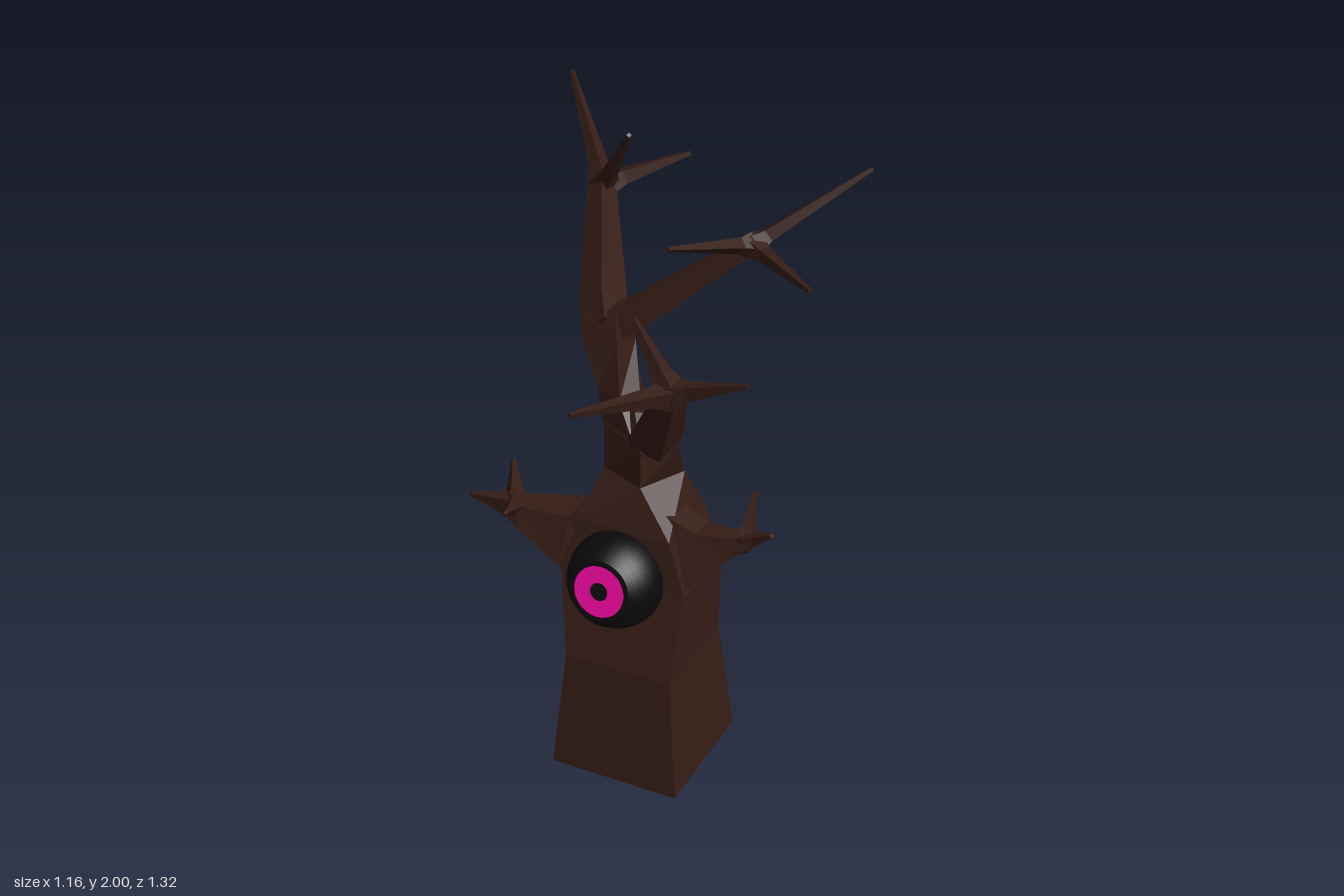
import * as THREE from 'three';

const bark = new THREE.MeshStandardMaterial({ color: 0x361d16, flatShading: true });
const black = new THREE.MeshStandardMaterial({ color: 0x0a0a0a });
const pink = new THREE.MeshStandardMaterial({ color: 0xf808a4 });
const V = (x, y, z) => new THREE.Vector3(x, y, z);

// Four-cornered section in a level plane: a box, or free [x, z] corners
const corners = (y, list) => list.map(([x, z]) => V(x, y, z));
const ringY = (y, x0, x1, z0, z1) => corners(y, [[x0, z1], [x1, z1], [x1, z0], [x0, z0]]);

// Section facing sideways, its top edge narrowed by k (s = 1 towards +x, -1 towards -x)
const ringX = (s, x, y0, y1, z0, z1, k) => {
  const top = [V(x, y1, z1 - k), V(x, y1, z0 + k)];
  const low = [V(x, y0, z1), V(x, y0, z0)];
  const [a, b] = s > 0 ? [top, low] : [low, top];
  return [a[0], b[0], b[1], a[1]];
};

// Square section of half width w, perpendicular to direction t
function ringAt(p, t, w) {
  t = t.clone().normalize();
  const v = V(0, 0, 1).addScaledVector(t, -t.z).normalize();
  const u = t.clone().cross(v);
  return [[-1, 1], [1, 1], [1, -1], [-1, -1]].map(([a, b]) =>
    p.clone().addScaledVector(u, a * w).addScaledVector(v, b * w));
}

// Skin joining the sections in order, capped at both ends
function loft(name, rings) {
  const pos = [];
  const tri = (...ps) => ps.forEach((p) => pos.push(p.x, p.y, p.z));
  for (let k = 0; k < rings.length - 1; k++) {
    const a = rings[k], b = rings[k + 1];
    for (let i = 0; i < 4; i++) {
      const j = (i + 1) % 4;
      tri(a[i], a[j], b[j]);
      tri(a[i], b[j], b[i]);
    }
  }
  const s = rings[0], e = rings[rings.length - 1];
  tri(s[0], s[2], s[1]); tri(s[0], s[3], s[2]);
  tri(e[0], e[1], e[2]); tri(e[0], e[2], e[3]);
  const g = new THREE.BufferGeometry();
  g.setAttribute('position', new THREE.Float32BufferAttribute(pos, 3));
  g.computeVertexNormals();
  const mesh = new THREE.Mesh(g, bark);
  mesh.name = name;
  return mesh;
}

// Sections along a path of [x, y, z, halfWidth]
function pathRings(stations) {
  const pts = stations.map((s) => V(s[0], s[1], s[2]));
  return stations.map((s, i) => {
    const t = pts[Math.min(i + 1, pts.length - 1)].clone().sub(pts[Math.max(i - 1, 0)]);
    return ringAt(pts[i], t, s[3]);
  });
}

// Thin twigs spreading from a knot of half width w
function twigs(name, node, w, tips) {
  const group = new THREE.Group();
  group.name = name;
  const c = V(...node);
  tips.forEach((tip) => {
    const end = V(...tip), d = end.clone().sub(c);
    const n = d.clone().normalize();
    const at = (dist, h) => ringAt(c.clone().addScaledVector(n, dist), d, h);
    group.add(loft('twig', [at(-w * 0.4, w * 0.72), at(w * 0.4, w * 0.72), at(w * 1.4, w * 0.45), ringAt(end, d, 0.006)]));
  });
  return group;
}

export function createModel() {
  const tree = new THREE.Group();
  tree.name = 'tree';

  // Trunk, twisting into a neck that runs diagonally
  tree.add(loft('trunk', [
    ringY(0, -0.165, 0.28, -0.09, 0.36),
    ringY(0.42, -0.13, 0.24, -0.045, 0.32),
    ringY(0.71, -0.185, 0.25, -0.045, 0.24),
    ringY(0.88, -0.13, 0.185, -0.045, 0.215),
    corners(1.02, [[-0.1, 0.1], [0.06, 0.165], [0.14, 0.01], [-0.04, -0.05]]),
    corners(1.15, [[-0.12, 0.06], [0.06, 0.16], [0.15, 0.08], [-0.03, -0.08]]),
    corners(1.235, [[-0.04, 0.05], [0.0, 0.08], [0.04, 0.06], [0.0, 0.0]]),
  ]));

  // Rear main limb and its two forks
  tree.add(loft('rearLimb', [
    corners(1.14, [[-0.118, 0.06], [0.03, 0.14], [0.07, 0.06], [-0.03, -0.078]]),
    corners(1.25, [[-0.16, 0.02], [-0.06, 0.07], [-0.005, 0.03], [-0.07, -0.1]]),
    ...pathRings([[-0.163, 1.37, -0.07, 0.06], [-0.185, 1.46, -0.1, 0.064]]),
  ]));
  tree.add(loft('rearLeftFork', pathRings([
    [-0.165, 1.42, -0.06, 0.05], [-0.215, 1.465, -0.13, 0.054],
    [-0.378, 1.65, -0.44, 0.036], [-0.405, 1.69, -0.5, 0.032],
  ])));
  tree.add(loft('rearRightFork', pathRings([
    [-0.19, 1.42, -0.09, 0.05], [-0.1, 1.463, -0.1, 0.047],
    [0.23, 1.735, -0.17, 0.028], [0.28, 1.765, -0.185, 0.027],
  ])));

  // Front limb
  tree.add(loft('frontLimb', [
    corners(1.13, [[0.0, 0.12], [0.06, 0.16], [0.148, 0.08], [0.05, 0.0]]),
    ...pathRings([[0.1, 1.21, 0.135, 0.062], [0.237, 1.48, 0.335, 0.04], [0.26, 1.53, 0.357, 0.033]]),
  ]));

  // Short side branches
  tree.add(loft('leftBranch', [
    ringX(1, 0.1, 0.64, 0.96, 0, 0.21, 0.05),
    ringX(1, 0.25, 0.73, 0.9, 0.02, 0.215, 0.055),
    ringX(1, 0.375, 0.85, 0.915, 0.08, 0.165, 0.015),
    ringX(1, 0.43, 0.895, 0.935, 0.11, 0.155, 0.005),
  ]));
  tree.add(loft('rightBranch', [
    ringX(-1, -0.07, 0.66, 0.91, -0.02, 0.22, 0.05),
    ringX(-1, -0.185, 0.69, 0.855, 0.0, 0.24, 0.05),
    ringX(-1, -0.36, 0.775, 0.845, 0.08, 0.215, 0.025),
    ringX(-1, -0.42, 0.805, 0.845, 0.12, 0.19, 0.01),
  ]));

  // Twigs
  tree.add(twigs('rearLeftTwigs', [-0.4, 1.68, -0.5], 0.05,
    [[-0.573, 1.995, -0.613], [-0.165, 1.77, -0.657], [-0.19, 1.995, -0.262]]));
  tree.add(twigs('rearRightTwigs', [0.27, 1.76, -0.18], 0.042,
    [[0.57, 1.995, -0.38], [0.525, 1.737, -0.03], [0.15, 1.878, 0.16]]));
  tree.add(twigs('frontTwigs', [0.257, 1.52, 0.355], 0.05,
    [[0.515, 1.632, 0.39], [0.08, 1.563, 0.657], [0.13, 1.738, 0.348]]));
  tree.add(twigs('leftBranchTwigs', [0.405, 0.9, 0.125], 0.036,
    [[0.505, 0.97, 0.155], [0.397, 1.033, 0.038]]));
  tree.add(twigs('rightBranchTwigs', [-0.395, 0.82, 0.155], 0.046,
    [[-0.55, 0.83, 0.173], [-0.487, 0.873, -0.003], [-0.34, 0.9, 0.312]]));

  // Eye: ball with a flattened front, tilted slightly upwards
  const eye = new THREE.Group();
  eye.name = 'eye';
  const R = 0.16, flat = 0.125, profile = [new THREE.Vector2(0, -R)];
  const a1 = Math.asin(flat / R);
  for (let i = 1; i <= 14; i++) {
    const a = -Math.PI / 2 + (a1 + Math.PI / 2) * (i / 14);
    profile.push(new THREE.Vector2(R * Math.cos(a), R * Math.sin(a)));
  }
  const ball = new THREE.Mesh(new THREE.LatheGeometry(profile, 32), black);
  ball.name = 'eyeball';
  ball.rotation.x = Math.PI / 2;
  const front = new THREE.Mesh(new THREE.CircleGeometry(0.102, 32), black);
  front.name = 'eyeFront';
  front.position.z = flat;
  const iris = new THREE.Mesh(new THREE.RingGeometry(0.03, 0.086, 32), pink);
  iris.name = 'iris';
  iris.position.z = flat + 0.003;
  eye.add(ball, front, iris);
  eye.position.set(0.018, 0.718, 0.246);
  eye.rotation.x = -0.2;
  tree.add(eye);

  return tree;
}
